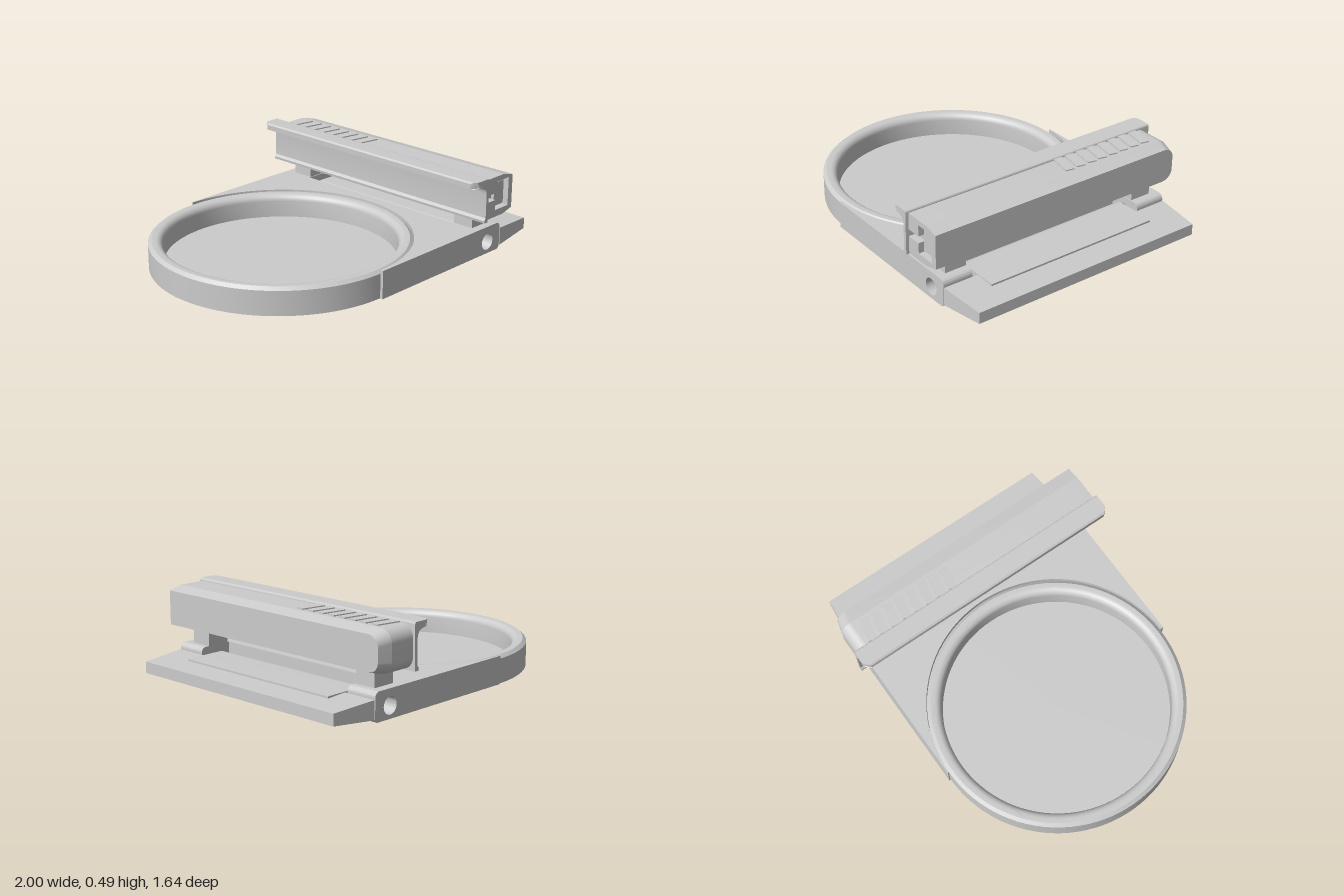
import * as THREE from 'three';
import { toCreasedNormals } from 'three/addons/utils/BufferGeometryUtils.js';

const V = (x, y) => new THREE.Vector2(x, y);
const poly = (pts) => new THREE.Shape(pts.map(([x, y]) => V(x, y)));

// Extrude an x-y outline along z, from z0 to z1
function alongZ(shape, z0, z1) {
  const g = new THREE.ExtrudeGeometry(shape, { depth: z1 - z0, bevelEnabled: false, curveSegments: 20 });
  return g.translate(0, 0, z0);
}

// Move every vertex by a rule that edits the vector in place
function warp(g, rule) {
  const p = g.attributes.position, v = new THREE.Vector3();
  for (let i = 0; i < p.count; i++) {
    rule(v.fromBufferAttribute(p, i));
    p.setXYZ(i, v.x, v.y, v.z);
  }
  return g;
}

export function createModel() {
  const model = new THREE.Group();
  const mat = new THREE.MeshStandardMaterial({ color: 0xcccccc });
  const add = (name, g, crease = 0.6) => {
    const m = new THREE.Mesh(toCreasedNormals(g, crease), mat);
    m.name = name;
    model.add(m);
    return m;
  };
  const box = (name, x0, x1, y0, y1, z0, z1) =>
    add(name, new THREE.BoxGeometry(x1 - x0, y1 - y0, z1 - z0)
      .translate((x0 + x1) / 2, (y0 + y1) / 2, (z0 + z1) / 2));

  // Round dish with a rolled rim
  const cx = -0.267, cz = -0.012;
  const rim = [V(0, 0), V(0.733, 0), V(0.733, 0.14), V(0.713, 0.157), V(0.69, 0.157)];
  for (let i = 1; i <= 6; i++) {
    const a = (i / 6) * Math.PI / 2;
    rim.push(V(0.69 - 0.04 * Math.sin(a), 0.117 + 0.04 * Math.cos(a)));
  }
  rim.push(V(0.65, 0.02), V(0, 0.02));
  add('dish', new THREE.LatheGeometry(rim, 96).translate(cx, 0, cz), 0.5);

  // Plate wrapped around the right half of the dish
  const plate = poly([[cx, -0.74], [0.53, -0.74], [0.53, 0.755], [cx, 0.755], [cx, -cz + 0.735]]);
  plate.absarc(cx, -cz, 0.735, Math.PI / 2, -Math.PI / 2, true);
  add('basePlate', new THREE.ExtrudeGeometry(plate, { depth: 0.16, bevelEnabled: false, curveSegments: 64 })
    .rotateX(-Math.PI / 2));

  // Hinge lugs with a pin bore
  const bore = () => new THREE.Path().absarc(0.62, 0.07, 0.048, 0, Math.PI * 2, true);
  const lug = new THREE.Shape();
  lug.moveTo(0.53, 0);
  lug.lineTo(0.715, 0);
  lug.lineTo(0.73, 0.015);
  lug.lineTo(0.73, 0.13);
  lug.absarc(0.70, 0.13, 0.03, 0, Math.PI / 2, false);
  lug.lineTo(0.53, 0.16);
  lug.holes.push(bore());
  add('hingeLugFront', alongZ(lug, 0.56, 0.74));
  add('hingeLugBack', alongZ(lug, -0.755, -0.565));

  // Hinge tongue: barrel and flat panel of the flap
  const tongue = new THREE.Shape();
  tongue.moveTo(0.62, 0.013);
  tongue.lineTo(0.855, 0.013);
  tongue.lineTo(0.855, 0.125);
  tongue.lineTo(0.62, 0.127);
  tongue.absarc(0.62, 0.07, 0.057, Math.PI / 2, Math.PI * 1.5, false);
  tongue.holes.push(bore());
  add('flapTongue', alongZ(tongue, -0.55, 0.53));

  // Tapering flap
  add('flap', warp(new THREE.BoxGeometry(1, 1, 1), (v) => {
    const out = v.x > 0;
    v.x = out ? 1 : 0.735;
    v.y = v.y > 0 ? (out ? 0.105 : 0.122) : (out ? 0.04 : 0.018);
    v.z = v.z > 0 ? (out ? 0.715 : 0.74) : (out ? -0.73 : -0.755);
  }), 0.05);

  // Posts carrying the clamp
  box('postFront', 0.54, 0.675, 0.15, 0.25, 0.56, 0.69);
  box('postBack', 0.54, 0.675, 0.15, 0.25, -0.70, -0.57);

  // Clamp body: rounded at the back end, chamfered on the outer side
  const y0 = 0.24, y1 = 0.475, r = 0.07, end = 0.81;
  const side = new THREE.Shape();
  side.moveTo(-0.755, y0);
  side.lineTo(end - r, y0);
  side.absarc(end - r, y0 + r, r, -Math.PI / 2, 0, false);
  side.absarc(end - r, y1 - r, r, 0, Math.PI / 2, false);
  side.lineTo(-0.755, y1);
  const body = new THREE.ExtrudeGeometry(side, { depth: 0.24, steps: 3, bevelEnabled: false, curveSegments: 10 });
  body.rotateY(Math.PI / 2).translate(0.51, 0, 0);
  add('clampBody', warp(body, (v) => {
    if (v.x < 0.74) return;
    v.y = v.y > 0.3575 ? 0.3575 + (v.y - 0.3575) * 0.83 : 0.3575 + (v.y - 0.3575) * 0.83;
    if (v.z < 0) v.z += 0.02;
  }), 0.22);

  // Front end of the clamp with a T-shaped pocket
  add('clampEnd', alongZ(poly([
    [0.51, 0.24], [0.67, 0.24], [0.75, 0.26], [0.75, 0.455], [0.67, 0.475], [0.51, 0.475],
    [0.51, 0.38], [0.60, 0.38], [0.60, 0.445], [0.715, 0.445], [0.715, 0.28], [0.60, 0.28],
    [0.60, 0.34], [0.51, 0.34],
  ]), 0.755, 0.798), 0.1);
  box('pocketBlock', 0.615, 0.70, 0.295, 0.43, 0.75, 0.775);

  // Hooked rail along the inner side, its lip rounded at both ends
  const hook = poly([[0.39, 0.452], [0.40, 0.45], [0.415, 0.452], [0.43, 0.455], [0.455, 0.452]]);
  hook.quadraticCurveTo(0.492, 0.445, 0.494, 0.40);
  hook.lineTo(0.494, 0.265);
  hook.lineTo(0.483, 0.25);
  hook.lineTo(0.485, 0.236);
  hook.lineTo(0.513, 0.236);
  hook.lineTo(0.513, 0.475);
  hook.quadraticCurveTo(0.513, 0.49, 0.50, 0.49);
  for (const x of [0.43, 0.415, 0.40]) hook.lineTo(x, 0.49);
  hook.lineTo(0.39, 0.482);
  add('hookRail', warp(alongZ(hook, -0.823, 0.816), (v) => {
    const t = Math.max(0, (0.43 - v.x) / 0.04);
    v.z -= Math.sign(v.z) * 0.035 * t * t;
  }));

  // Slanted grip ribs on top of the clamp
  for (let i = 0; i < 8; i++) {
    const rib = box('gripRib', -0.07, 0.07, 0.465, 0.482, -0.026, 0.026);
    rib.position.set(0.58, 0, -0.685 + i * 0.0757);
    rib.rotation.y = -0.19;
  }
  return model;
}
